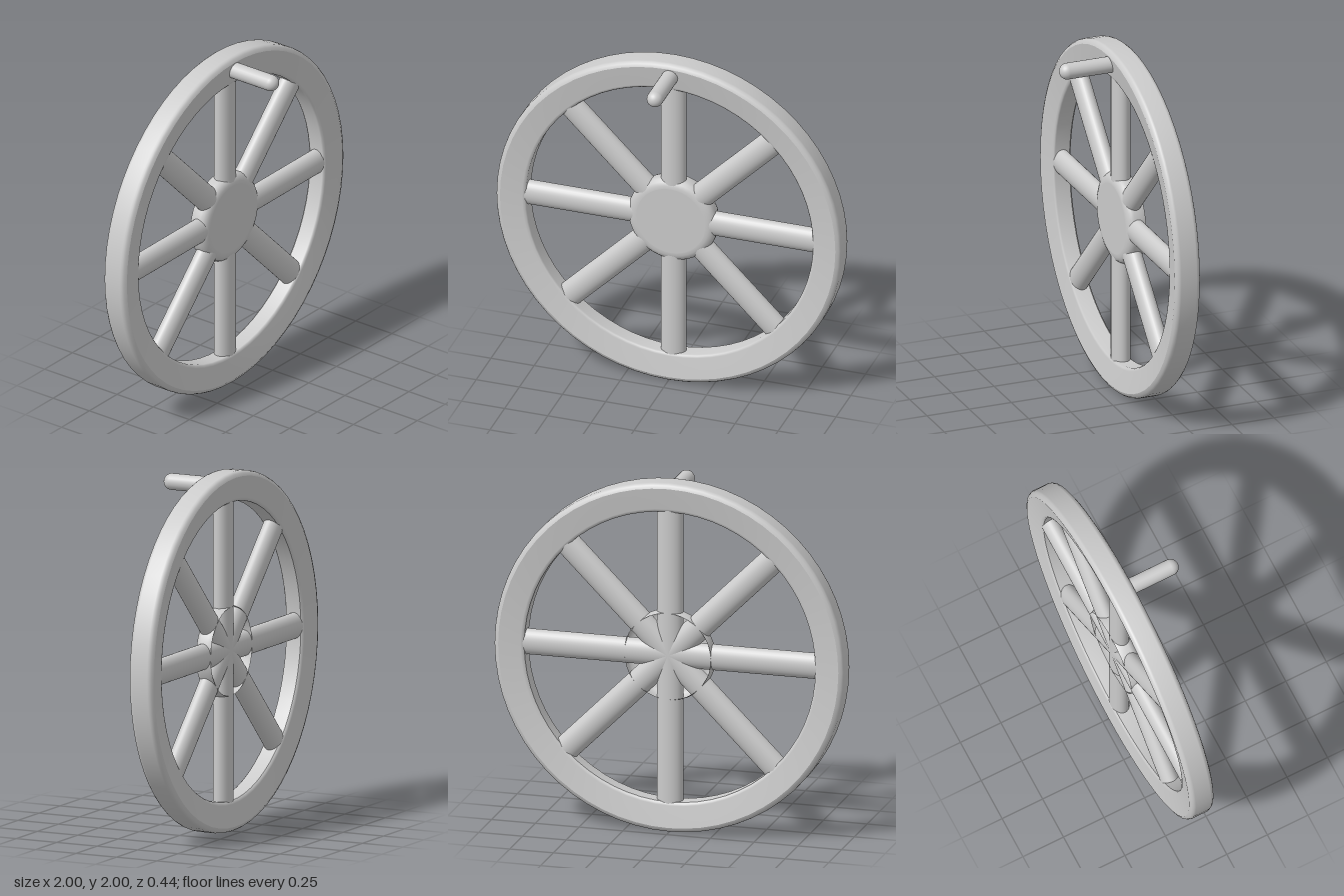
import * as THREE from 'three';

const MID_Z = -0.144;          // middle plane of the wheel
const SPOKE_DEPTH = 0.051;     // half depth of the flattened spokes
const CX = 0.01, CY = 1.008;   // centre of spokes and hub

export function createModel() {
  const group = new THREE.Group();
  const mat = new THREE.MeshStandardMaterial({ color: 0xcccccc });
  const openMat = new THREE.MeshStandardMaterial({ color: 0xcccccc, side: THREE.DoubleSide });

  const add = (name, geometry, x, y, z, parent = group, material = mat) => {
    const mesh = new THREE.Mesh(geometry, material);
    mesh.name = name;
    mesh.position.set(x, y, z);
    parent.add(mesh);
    return mesh;
  };
  // Lathe of [radius, z] pairs with z as its axis; a repeated point makes a sharp edge
  const turned = (pairs, segments) => new THREE.LatheGeometry(
    pairs.map(([r, z]) => new THREE.Vector2(r, z)), segments).rotateX(Math.PI / 2);

  // Rim: thick rounded tread, sides tapering to a thinner inner edge
  const front = [[1, 0.045], [0.997, 0.056], [0.989, 0.067], [0.972, 0.074], [0.972, 0.074],
    [0.85, 0.054], [0.838, 0.05], [0.832, 0.042]];
  const back = front.map(([r, z]) => [r, -z]).reverse();
  add('rim', turned([...back, ...front, back[0]], 64), 0, 1, MID_Z);

  // Eight oval spokes from the centre into the rim
  const spokes = new THREE.Group();
  spokes.name = 'spokes';
  group.add(spokes);
  const spokeGeo = new THREE.CylinderGeometry(0.073, 0.073, 0.87, 32, 1, true)
    .translate(0, 0.435, 0).scale(1, 1, SPOKE_DEPTH / 0.073);
  for (let i = 0; i < 8; i++) {
    add('spoke', spokeGeo, CX, CY, MID_Z, spokes).rotation.z = i * Math.PI / 4;
  }

  // Hub cap: flat front with a rounded edge, open at the back
  const hub = [[0.247, -0.051], [0.255, -0.028], [0.257, 0.014], [0.25, 0.031],
    [0.238, 0.044], [0.218, 0.052], [0.2, 0.053], [0.2, 0.053], [0, 0.053]];
  add('hub', turned(hub, 40), CX, CY - 0.004, MID_Z, group, openMat);

  // Crank handle with a rounded tip
  const handle = new THREE.CapsuleGeometry(0.046, 0.26, 8, 24).rotateX(Math.PI / 2);
  add('handle', handle, CX, 1.92, 0.218 - 0.046 - 0.13);

  return group;
}
